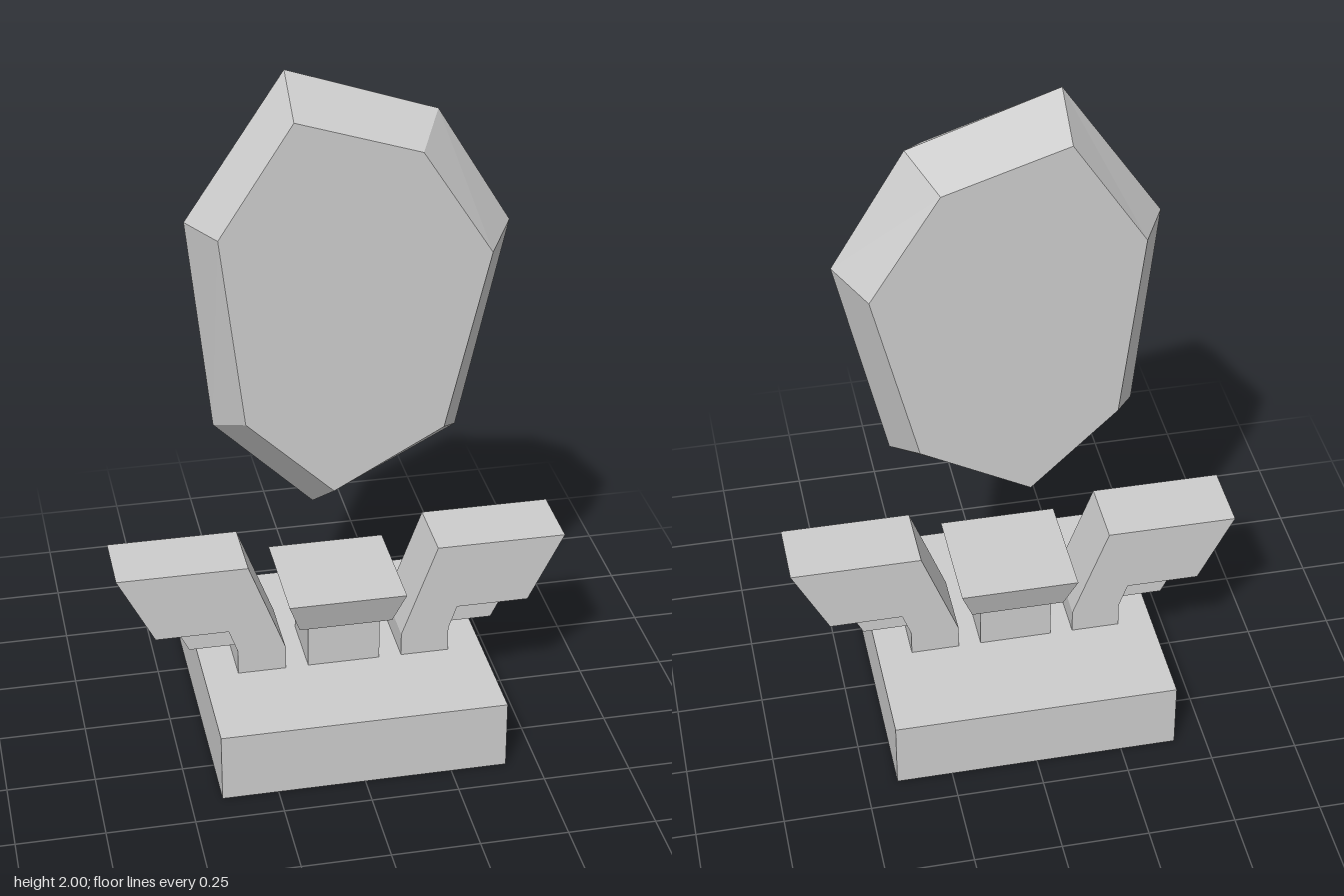
import * as THREE from 'three';

const stoneGrey = new THREE.MeshStandardMaterial({ color: 0xcccccc, flatShading: true });
stoneGrey.name = 'stoneGrey';

function part(name, geometry, y = 0) {
  const mesh = new THREE.Mesh(geometry, stoneGrey);
  mesh.name = name;
  mesh.position.y = y;
  return mesh;
}

// Flat outline extruded evenly to both sides of z = 0
function slab(points, halfDepth, side) {
  const shape = new THREE.Shape(points.map(([x, y]) => new THREE.Vector2(x * side, y)));
  const geometry = new THREE.ExtrudeGeometry(shape, { depth: halfDepth * 2, bevelEnabled: false });
  return geometry.translate(0, 0, -halfDepth);
}

// Seven-sided stone: flat faces front and back, bevelled to a sharp middle rim
function stoneGeometry() {
  const rim = [[-0.14, 2], [0.275, 1.86], [0.48, 1.52], [0.34, 0.9], [-0.07, 0.695], [-0.35, 0.97], [-0.415, 1.59]];
  const face = [[-0.14, 1.905], [0.205, 1.795], [0.4, 1.49], [0.275, 0.97], [-0.035, 0.8], [-0.28, 1.035], [-0.345, 1.59]];
  const n = rim.length;
  const positions = [];
  const indices = [];
  for (const [ring, z] of [[face, 0.137], [rim, 0], [face, -0.137]]) {
    for (const [x, y] of ring) positions.push(x, y, z);
  }
  for (let i = 0; i < n; i++) {
    const j = (i + 1) % n;
    for (const r of [0, n]) {
      indices.push(r + i, r + j, r + n + i, r + j, r + n + j, r + n + i);
    }
    if (i > 0 && i < n - 1) {
      indices.push(0, i + 1, i, 2 * n, 2 * n + i, 2 * n + i + 1);
    }
  }
  const indexed = new THREE.BufferGeometry();
  indexed.setAttribute('position', new THREE.Float32BufferAttribute(positions, 3));
  indexed.setIndex(indices);
  const geometry = indexed.toNonIndexed();
  geometry.computeVertexNormals();
  return geometry;
}

// Square block that flares outwards towards the top
function flaredBlock(bottom, top, height) {
  const geometry = new THREE.BoxGeometry(1, height, 1);
  const p = geometry.attributes.position;
  for (let i = 0; i < p.count; i++) {
    const width = p.getY(i) > 0 ? top : bottom;
    p.setX(i, p.getX(i) * width);
    p.setZ(i, p.getZ(i) * width);
  }
  geometry.computeVertexNormals();
  return geometry;
}

export function createModel() {
  const model = new THREE.Group();
  model.name = 'floatingStone';

  // Plinth and central pedestal
  model.add(part('base', new THREE.BoxGeometry(0.82, 0.205, 0.82), 0.1025));
  model.add(part('pedestalStem', new THREE.BoxGeometry(0.21, 0.145, 0.205), 0.2775));
  model.add(part('pedestalCap', flaredBlock(0.27, 0.34, 0.1), 0.4));

  // Mirrored side arms, each with a narrow brace below
  const arm = [[0.17, 0.205], [0.17, 0.275], [0.275, 0.555], [0.65, 0.555], [0.545, 0.35], [0.335, 0.35], [0.31, 0.28], [0.31, 0.205]];
  const brace = [[0.31, 0.28], [0.445, 0.28], [0.48, 0.35], [0.335, 0.35]];
  for (const [label, side] of [['left', 1], ['right', -1]]) {
    model.add(part(label + 'Arm', slab(arm, 0.103, side)));
    model.add(part(label + 'Brace', slab(brace, 0.067, side)));
  }

  // Hovering stone
  model.add(part('stone', stoneGeometry()));
  return model;
}
